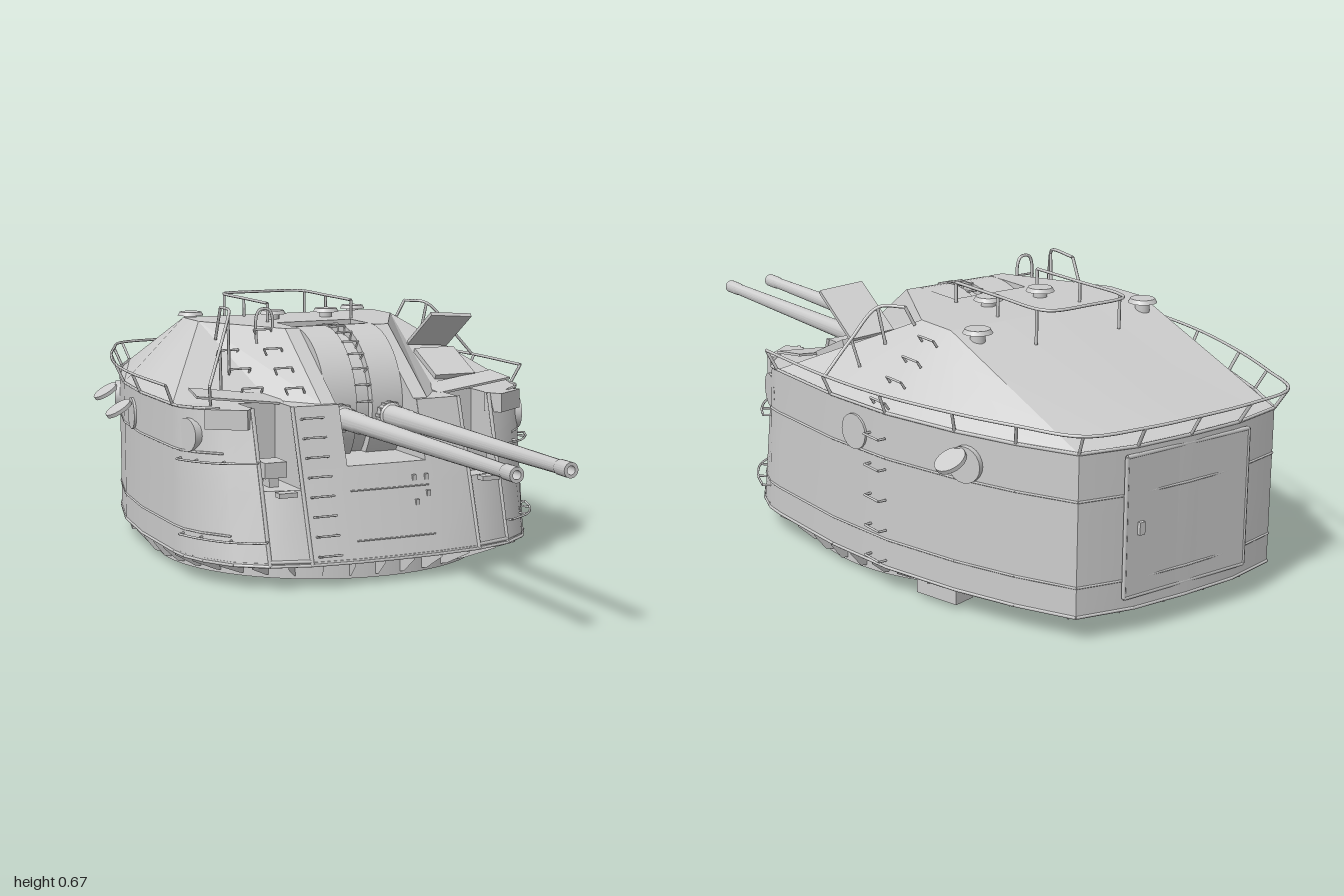
import * as THREE from 'three';
import { toCreasedNormals } from 'three/addons/utils/BufferGeometryUtils.js';

const mat = new THREE.MeshStandardMaterial({ color: 0xcccccc, side: THREE.DoubleSide });
const V = (x, y, z) => new THREE.Vector3(x, y, z);
const TOP = 0.44, BOT = 0.06, CROWN = 0.61;

// half plan of the gunhouse wall at its foot: [x, z], front to back
const HALF = [[0, .31], [.11, .308], [.235, .295], [.335, .265], [.41, .21], [.46, .13], [.485, .06], [.49, 0],
  [.49, -.25], [.468, -.45], [.415, -.65], [.358, -.8], [.29, -.935], [.15, -.965], [0, -.97]];

// wall point at height y; the front leans back
function wallPoint(i, y, s = 1, grow = 1) {
  const [x, z] = HALF[i];
  const lean = .13 * (y - BOT) / (TOP - BOT) * Math.max(0, z / .31);
  return V(s * x * grow, y, (z - lean + .3) * grow - .3);
}

export function createModel() {
  const root = new THREE.Group();
  root.name = 'gunTurret';
  const body = new THREE.Group();
  body.name = 'gunhouse';
  body.position.x = .02;
  root.add(body);

  const add = (name, geo, x = 0, y = 0, z = 0) => {
    const m = new THREE.Mesh(geo, mat);
    m.name = name;
    m.position.set(x, y, z);
    body.add(m);
    return m;
  };
  const box = (name, w, h, d, x, y, z) => add(name, new THREE.BoxGeometry(w, h, d), x, y, z);
  // flat polygons, each a fan of corners
  const polys = (name, list, crease = 0) => {
    const pos = [];
    for (const p of list) for (let i = 1; i < p.length - 1; i++)
      for (const v of [p[0], p[i], p[i + 1]]) pos.push(v.x, v.y, v.z);
    let g = new THREE.BufferGeometry();
    g.setAttribute('position', new THREE.Float32BufferAttribute(pos, 3));
    g.computeVertexNormals();
    if (crease) g = toCreasedNormals(g, crease);
    return add(name, g);
  };
  const bar = (name, a, b, r = .004) => {
    const m = add(name, new THREE.CylinderGeometry(r, r, a.distanceTo(b), 6));
    m.position.copy(a).lerp(b, .5);
    m.quaternion.setFromUnitVectors(V(0, 1, 0), b.clone().sub(a).normalize());
    return m;
  };
  const tube = (name, pts, r = .004) =>
    add(name, new THREE.TubeGeometry(new THREE.CatmullRomCurve3(pts, false, 'centripetal'), pts.length * 6, r, 6));
  const rung = (c, side, out) => {
    const a = c.clone().sub(side), b = c.clone().add(side);
    const a2 = a.clone().add(out), b2 = b.clone().add(out);
    bar('ladderRung', a2, b2, .003); bar('ladderRung', a, a2, .003); bar('ladderRung', b, b2, .003);
  };

  // walls, with openings for the guns and the two sights
  const walls = [], levels = [BOT, .24, .29, TOP];
  for (const s of [1, -1]) for (let k = 0; k < 3; k++) for (let i = 0; i < HALF.length - 1; i++) {
    if ((i === 0 && k === 2) || (i === 2 && k > 0)) continue;
    const q = [wallPoint(i, levels[k], s), wallPoint(i + 1, levels[k], s),
      wallPoint(i + 1, levels[k + 1], s), wallPoint(i, levels[k + 1], s)];
    walls.push(s > 0 ? q : q.reverse());
  }
  polys('wall', walls, .5);

  for (const s of [1, -1]) {
    const P = (x, y, z) => V(s * x, y, z), W = i => wallPoint(i, TOP, s);
    const c1 = P(.29, CROWN, -.34), c2 = P(.29, CROWN, -.46), valley = P(.24, TOP, .03);
    const horn = P(.15, CROWN, -.07), hornFoot = P(.15, TOP, .16), slotFoot = P(.11, TOP, .16);
    const portIn = P(.235, TOP, .06), portOut = P(.335, TOP, .06);
    // roof plates: crown, horns beside the guns, shoulders, decks and rear slopes
    polys('roof', [
      [P(0, CROWN, -.22), P(.11, CROWN, -.22), c1, c2, P(0, CROWN, -.46)],
      [P(.11, CROWN, -.22), P(.11, CROWN, -.07), horn, c1],
      [P(.11, CROWN, -.07), horn, hornFoot, slotFoot],
      [c1, horn, hornFoot, valley],
      [c1, valley, W(7)],
      [portIn, valley, hornFoot, slotFoot, W(1), W(2)],
      [portOut, W(3), W(4), W(5), W(6), W(7), valley, portIn]]);
    const slopes = [[c1, W(7), W(8)], [c1, W(8), W(9), c2], [c2, W(9), W(10), W(11), W(12)],
      [c2, W(12), W(13), W(14), P(0, CROWN, -.46)]];
    polys('rearRoof', s > 0 ? slopes : slopes.map(q => q.reverse()), .4);
    // gun slot lining
    polys('gunSlot', [
      [P(.11, .29, -.22), P(.11, .29, .23), P(.11, TOP, .178), slotFoot, P(.11, CROWN, -.07), P(.11, CROWN, -.22)],
      [P(0, .29, -.22), P(.11, .29, -.22), P(.11, CROWN, -.22), P(0, CROWN, -.22)],
      [P(0, .29, -.22), P(.11, .29, -.22), wallPoint(1, .29, s), wallPoint(0, .29, s)]]);
    // sight port lining, visor and sight
    const a0 = wallPoint(2, .24, s), b0 = wallPoint(3, .24, s);
    const back = [P(.235, .24, .06), P(.335, .24, .06), portOut, portIn];
    polys('sightPort', [back, [a0, b0, back[1], back[0]], [a0, W(2), portIn, back[0]], [b0, W(3), portOut, back[1]]]);
    box('sight', .06, .04, .07, s * .285, .285, .15);
    box('sightMount', .025, .04, .04, s * .285, .255, .15);
    box('sightStep', .05, .012, .03, s * .285, .235, .25);
    box('visor', .23, .006, .09, s * .33, .455, .035).rotation.set(.12, s * .12, s * .1);
    box('visorHood', .11, .05, .05, s * .39, .415, .13).rotation.y = s * .6;
    // panel edges below the port
    for (const i of [2, 3]) bar('panelEdge', wallPoint(i, BOT, s), wallPoint(i, TOP, s), .005);
    bar('panelEdge', wallPoint(2, .07, s), wallPoint(3, .07, s), .005);

    // hull seams
    for (let i = 0; i < HALF.length - 1; i++) {
      bar('seam', wallPoint(i, BOT, s), wallPoint(i + 1, BOT, s), .004);
      if (i > 3) {
        bar('seam', wallPoint(i, .13, s), wallPoint(i + 1, .13, s), .003);
        bar('seam', wallPoint(i, .33, s), wallPoint(i + 1, .33, s), .003);
        bar('roofEdge', W(i), W(i + 1), .004);
      }
    }
    bar('frontStrip', wallPoint(0, .23, s, 1.001), wallPoint(1, .23, s, 1.001), .002);
    bar('frontStrip', wallPoint(0, .11, s, 1.001), wallPoint(1, .11, s, 1.001), .002);

    // corner grab rails
    for (const y of [.12, .31]) {
      tube('grabRail', [3, 4, 5, 6].map(i => wallPoint(i, y, s, 1.035)), .003);
      for (const i of [3, 4, 5, 6]) bar('grabRailPost', wallPoint(i, y, s), wallPoint(i, y, s, 1.035), .003);
    }

    // roof ventilators
    for (const [x, z] of [[.25, -.51], [.08, -.32]]) {
      const y = z < -.46 ? CROWN - .014 : CROWN;
      add('ventStem', new THREE.CylinderGeometry(.018, .018, .03, 16), s * x, y + .005, z);
      add('ventCap', new THREE.CylinderGeometry(.03, .036, .01, 20), s * x, y + .019, z);
    }
    // side port covers
    for (const [x, z, t] of [[.468, .06, .02], [.476, -.34, .02], [.402, -.68, .03], [.322, -.86, .02]]) {
      if (s > 0 && z < -.8) continue;
      const c = add('portCover', new THREE.CylinderGeometry(.043, .043, t, 20), s * x, .37, z);
      c.rotation.z = Math.PI / 2;
      c.rotation.y = s * (z < -.5 ? .37 : z < 0 ? .12 : -.25);
      if (z > 0 || z < -.8 || (s > 0 && z > -.5)) continue;
      const lid = add('portLid', new THREE.CylinderGeometry(.038, .038, .01, 20), s * (x + .045), .385, z);
      lid.rotation.z = -s * .55;
    }
    // roof handrail half
    const u = [P(.125, .66, -.25), P(.125, .66, -.42), P(.125, .66, -.57), P(.11, .66, -.6), P(.08, .66, -.61), P(0, .66, -.61)];
    tube('roofRail', u);
    for (const i of [0, 1, 2]) bar('roofRailPost', u[i], u[i].clone().setY(u[i].z < -.5 ? .575 : CROWN));
  }

  // shoulder rails: one climbs the front shoulder, the other crosses the side slope
  const rise = [V(-.42, .49, .08), V(-.36, .575, 0), V(-.31, .645, -.07), V(-.295, .66, -.1), V(-.28, .66, -.2)];
  const cross = [V(.512, .49, -.26), V(.44, .57, -.265), V(.375, .64, -.28), V(.33, .645, -.33)];
  tube('shoulderRail', rise);
  tube('shoulderRail', cross);
  for (const [a, b] of [[rise[4], V(-.28, .57, -.24)], [rise[2], V(-.3, .5, -.09)], [rise[1], V(-.35, .45, -.02)],
    [rise[0], V(-.41, TOP, .06)], [cross[1], V(.42, .5, -.27)], [cross[2], V(.36, .55, -.29)], [cross[3], V(.31, .6, -.34)]])
    bar('shoulderRailPost', a, b);

  // side ladder, carried on up the roof slope
  for (let y = .08; y < .43; y += .075) rung(V(.472, y, -.425), V(0, 0, .03), V(.02, 0, 0));
  for (let k = 0; k < 4; k++) rung(V(.33 + k * .045, .577 - k * .042, -.43), V(0, 0, .03), V(.01, .015, 0));

  // rail around the rear roof edge
  const ids = HALF.map((_, i) => i).slice(7);
  const loop = [...ids.map(i => [i, 1]), ...ids.slice(0, -1).reverse().map(i => [i, -1])];
  const railPoint = ([i, s]) => wallPoint(i, TOP, s, 1.045).setY(.49);
  tube('rearRail', loop.map(railPoint));
  for (const p of loop) bar('rearRailPost', railPoint(p), wallPoint(p[0], TOP, p[1]));

  // rear door
  const D = .966, door = [V(-.18, .09, -D), V(.18, .09, -D), V(.18, .42, -D), V(-.18, .42, -D)];
  door.forEach((p, i) => bar('doorFrame', p, door[(i + 1) % 4], .005));
  box('doorPanel', .36, .33, .02, 0, .255, -.959);
  box('doorHandle', .015, .03, .015, .14, .25, -.97);

  // mantlet: two curved shields with a narrow strip between
  for (const [x, w, r] of [[-.066, .088, .2], [.066, .088, .2], [0, .05, .178]])
    add('mantlet', new THREE.CylinderGeometry(r, r, w, 64), x, .41, -.1).rotation.z = Math.PI / 2;
  for (let k = 0; k < 9; k++) {
    const a = .1 + k * .22;
    const dir = V(0, Math.sin(a), Math.cos(a));
    rung(V(0, .41, -.1).addScaledVector(dir, .175), V(.022, 0, 0), dir.multiplyScalar(.027));
  }

  // guns
  const profile = [[0, .02], [.03, .02], [.033, .05], [.033, .12], [.028, .125], [.027, .22], [.025, .23], [.016, .95],
    [.018, .955], [.018, 1], [.01, 1], [.01, .9], [0, .9]].map(p => new THREE.Vector2(...p));
  for (const x of [-.068, .068]) {
    add('barrel', toCreasedNormals(new THREE.LatheGeometry(profile, 24), .5), x, .393, 0).rotation.x = Math.PI / 2;
    for (let k = 0; k < 12; k++) {
      const a = k * Math.PI / 6;
      box('barrelCollarRib', .008, .008, .07, x + .032 * Math.cos(a), .393 + .032 * Math.sin(a), .085);
    }
  }

  // front ladder up the face, over the horn flank, with a hoop at its head
  for (let k = 0; k < 8; k++) {
    const y = .08 + k * .047;
    rung(V(-.19, y, wallPoint(1, y).z - .006), V(.026, 0, 0), V(0, .005, .022));
  }
  for (let k = 0; k < 4; k++) {
    const y = .46 + k * .043;
    rung(V(-.19, y, -.07 + (.562 - y) / .62), V(.024, 0, 0), V(-.012, .018, .012));
  }
  tube('ladderHoop', [V(-.215, .57, -.11), V(-.215, .64, -.11), V(-.205, .658, -.11), V(-.18, .658, -.11),
    V(-.17, .64, -.11), V(-.17, .58, -.11)]);
  for (let k = 0; k < 3; k++) rung(V(-.275, .455 + k * .04, .0 - k * .085), V(.028, 0, 0), V(0, .015, .01));
  for (const [x, y] of [[.07, .25], [.105, .25], [.07, .19], [.105, .21]])
    box('frontLug', .01, .015, .015, x, y, .307 - .342 * (y - BOT));

  // sighting hatch on one shoulder, its lid swung up from the rear edge
  box('hatchCoaming', .12, .03, .14, .325, .488, -.08).rotation.x = .44;
  box('hatchLid', .12, .01, .17, .32, .585, -.1).rotation.set(-.58, 0, -.08);

  // open base ring, floor and radial brackets
  const CZ = -.2, R = .44;
  add('baseRing', new THREE.CylinderGeometry(R, R, .068, 64, 1, true), 0, .034, CZ);
  const floor = new THREE.Shape([...HALF, ...HALF.slice(1, -1).reverse().map(([x, z]) => [-x, z])]
    .map(([x, z]) => new THREE.Vector2(x, z)));
  add('floor', new THREE.ShapeGeometry(floor), 0, .068, 0).rotation.x = Math.PI / 2;
  const reach = (dx, dz) => { // distance from ring centre to the wall foot
    for (let i = 0; i < HALF.length - 1; i++) {
      const [x1, z1] = HALF[i], ex = HALF[i + 1][0] - x1, ez = HALF[i + 1][1] - z1;
      const det = dx * ez - dz * ex;
      if (Math.abs(det) < 1e-9) continue;
      const t = (x1 * ez - (z1 - CZ) * ex) / det, u = (x1 * dz - (z1 - CZ) * dx) / det;
      if (t > 0 && u >= -1e-6 && u <= 1.000001) return t;
    }
    return R;
  };
  for (let k = 0; k < 40; k++) {
    const a = (k + .5) * Math.PI / 20, dx = Math.abs(Math.sin(a)), dz = Math.cos(a), s = Math.sign(Math.sin(a));
    const r = reach(dx, dz);
    const at = (d, y) => V(s * dx * d, y, CZ + dz * d);
    if (r > R) polys('baseBracket', [[at(R, .008), at(Math.min(r, R + .02), .012), at(r, .052), at(r, .068), at(R, .068)]]);
  }
  for (const s of [1, -1]) box('baseBox', .06, .05, .12, s * .385, .037, -.57).rotation.y = s * .25;

  return root;
}
